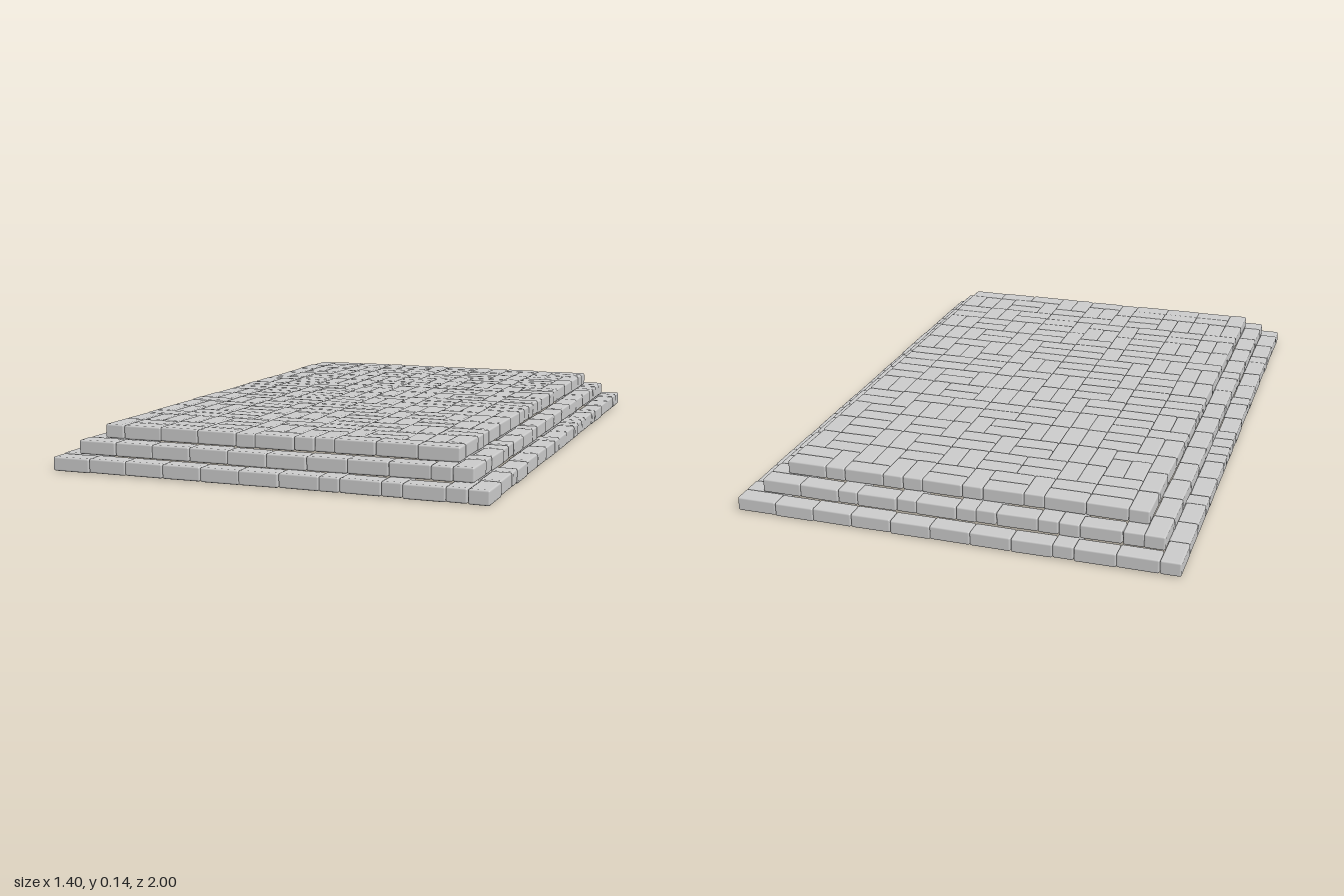
import * as THREE from 'three';
import { RoundedBoxGeometry } from 'three/addons/geometries/RoundedBoxGeometry.js';

// small seeded generator
function seeded(seed) {
  return () => {
    seed = (seed * 1664525 + 1013904223) % 4294967296;
    return seed / 4294967296;
  };
}

export function createModel() {
  const rand = seeded(20);
  const jitter = (a) => (rand() * 2 - 1) * a;
  const material = new THREE.MeshStandardMaterial({ color: 0xcccccc });
  const H = 0.045; // brick height
  const cache = {};

  // one bevelled brick, very slightly out of true
  function addBrick(group, name, x, y, z, sx, sz) {
    const key = sx.toFixed(4) + '_' + sz.toFixed(4);
    cache[key] ??= new RoundedBoxGeometry(sx, H, sz, 1, 0.006);
    const brick = new THREE.Mesh(cache[key], material);
    brick.name = name;
    brick.position.set(x + jitter(0.001), y + H / 2 + jitter(0.0015), z + jitter(0.001));
    brick.rotation.set(jitter(0.006), jitter(0.012), jitter(0.006));
    group.add(brick);
  }

  // hollow course: stretchers along the edge, with headers reaching inwards
  function addRing(name, hx, hz, nx, nz, y) {
    const ring = new THREE.Group();
    ring.name = name;
    const cx = (2 * hx) / nx, cz = (2 * hz) / nz;
    const sides = [
      { start: [-hx, hz], dir: [1, 0], inward: [0, -1], n: nx },
      { start: [hx, hz], dir: [0, -1], inward: [-1, 0], n: nz },
      { start: [hx, -hz], dir: [-1, 0], inward: [0, 1], n: nx },
      { start: [-hx, -hz], dir: [0, 1], inward: [1, 0], n: nz },
    ];
    for (const { start, dir, inward, n } of sides) {
      const end = n - 1; // the last cell belongs to the next side
      for (let i = 0; i < end;) {
        const header = i > 0 && (end - i === 1 || rand() < 0.3);
        const along = header ? 1 : 2, deep = header ? 2 : 1;
        const u = i + along / 2, v = deep / 2;
        const x = start[0] + (dir[0] * u + inward[0] * v) * cx;
        const z = start[1] + (dir[1] * u + inward[1] * v) * cz;
        const sx = (dir[0] ? along : deep) * cx;
        const sz = (dir[0] ? deep : along) * cz;
        addBrick(ring, header ? 'headerBrick' : 'stretcherBrick', x, y, z, sx, sz);
        i += along;
      }
    }
    return ring;
  }

  // full floor: rows of two-cell bricks shuffled by turning random square pairs
  function addFloor(name, hx, hz, nx, nz, y) {
    const floor = new THREE.Group();
    floor.name = name;
    const cx = (2 * hx) / nx, cz = (2 * hz) / nz;
    // each cell stores the direction of its other half: R, L, D or U
    const cell = Array.from({ length: nx }, () =>
      Array.from({ length: nz }, (_, j) => (j % 2 ? 'U' : 'D')));
    for (let k = 0; k < 60000; k++) {
      const i = Math.floor(rand() * (nx - 1)), j = Math.floor(rand() * (nz - 1));
      const a = cell[i], b = cell[i + 1];
      if (a[j] === 'D' && b[j] === 'D') {
        a[j] = a[j + 1] = 'R';
        b[j] = b[j + 1] = 'L';
      } else if (a[j] === 'R' && a[j + 1] === 'R') {
        a[j] = b[j] = 'D';
        a[j + 1] = b[j + 1] = 'U';
      }
    }
    for (let i = 0; i < nx; i++) {
      for (let j = 0; j < nz; j++) {
        const c = cell[i][j];
        if (c !== 'R' && c !== 'D') continue;
        const w = c === 'R' ? 2 : 1, d = c === 'R' ? 1 : 2;
        addBrick(floor, 'floorBrick', -hx + (i + w / 2) * cx, y,
          -hz + (j + d / 2) * cz, w * cx, d * cz);
      }
    }
    return floor;
  }

  const model = new THREE.Group();
  model.name = 'steppedBrickPlatform';
  model.add(
    addRing('lowerStep', 0.7, 0.998, 22, 32, 0.005),
    addRing('middleStep', 0.64, 0.942, 20, 30, 0.051),
    addFloor('topFloor', 0.58, 0.883, 18, 28, 0.096),
  );
  return model;
}
